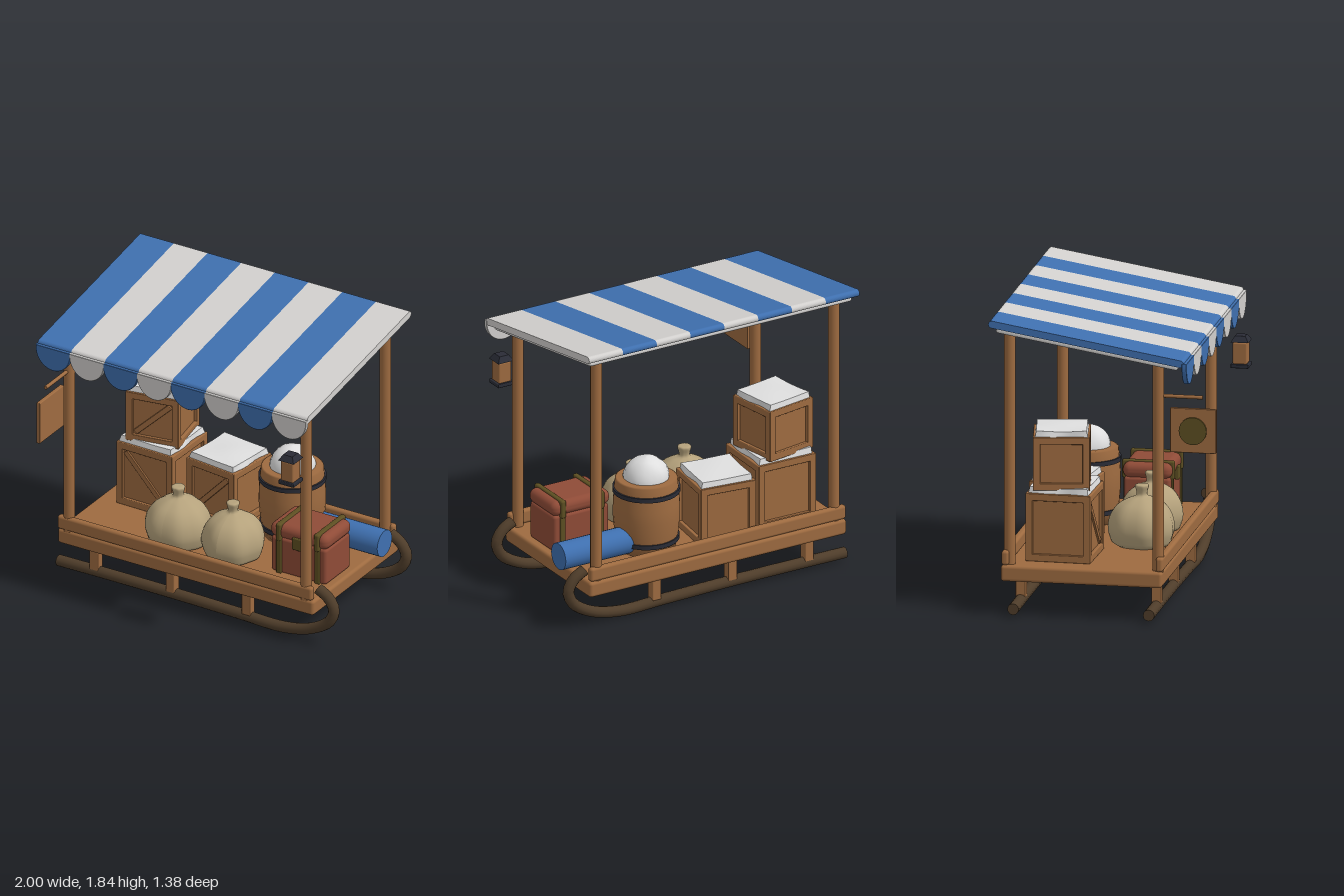
import * as THREE from 'three';
import { RoundedBoxGeometry } from 'three/addons/geometries/RoundedBoxGeometry.js';

const mat = (name, color, side = THREE.FrontSide) => {
  const m = new THREE.MeshStandardMaterial({ color, side });
  m.name = name;
  return m;
};

export function createModel() {
  const wood = mat('wood', 0x9e6b40);
  const darkWood = mat('darkWood', 0x4f3d2a);
  const blue = mat('blueCloth', 0x3f70b0);
  const white = mat('whiteCloth', 0xd3d1cf);
  const snow = mat('snow', 0xdedede);
  const iron = mat('iron', 0x2a2c36);
  const red = mat('redLeather', 0x8f4b37);
  const olive = mat('oliveStrap', 0x5d4f22);
  const burlap = mat('burlap', 0xb5a27c);

  const model = new THREE.Group();
  const add = (name, geo, material, x = 0, y = 0, z = 0, parent = model) => {
    const m = new THREE.Mesh(geo, material);
    m.name = name;
    m.position.set(x, y, z);
    parent.add(m);
    return m;
  };
  const group = (name, x, y, z, rotY = 0) => {
    const g = new THREE.Group();
    g.name = name;
    g.position.set(x, y, z);
    g.rotation.y = rotY;
    model.add(g);
    return g;
  };
  const rbox = (w, h, d, r = 0.01) => new RoundedBoxGeometry(w, h, d, 2, r);
  const cyl = (r, h, n = 20) => new THREE.CylinderGeometry(r, r, h, n);

  // Deck with a rail along the front and back
  add('deck', rbox(1.81, 0.1, 0.99, 0.02), wood, -0.045, 0.26, -0.125);
  for (const z of [0.353, -0.593]) add('sideRail', rbox(1.8, 0.09, 0.045, 0.018), wood, -0.05, 0.355, z);

  // Runners that curl up at the bow, held by struts
  const runnerPath = new THREE.CatmullRomCurve3([
    [-0.985, 0.05], [-0.6, 0.052], [-0.1, 0.05], [0.3, 0.043], [0.6, 0.038],
    [0.8, 0.082], [0.93, 0.165], [0.962, 0.25], [0.92, 0.325], [0.85, 0.365],
  ].map(([x, y]) => new THREE.Vector3(x, y, 0)));
  for (const z of [0.297, -0.535]) {
    add('runner', new THREE.TubeGeometry(runnerPath, 60, 0.035, 12), darkWood, 0, 0, z);
    for (const [x, a] of [[-0.985, -Math.PI / 2], [0.85, Math.PI / 2]]) {
      const cap = add('runnerEnd', new THREE.CircleGeometry(0.035, 12), darkWood, x, x < 0 ? 0.05 : 0.365, z);
      cap.rotation.y = a;
      if (x > 0) cap.rotation.y = -Math.PI / 2;
    }
    for (const x of [-0.72, -0.18, 0.355]) add('strut', rbox(0.06, 0.17, 0.06, 0.006), wood, x, 0.145, z);
  }

  // Canopy posts, taller at the back
  for (const x of [-0.885, 0.79]) {
    for (const [z, top] of [[0.337, 1.61], [-0.573, 1.765]]) {
      add('post', cyl(0.035, top - 0.3), wood, x, (top + 0.3) / 2, z);
    }
  }

  // Striped sloping canopy with a scalloped valance
  const stripe = 1.905 / 8;
  const canopy = group('canopy', -0.0475, 1.717, -0.085);
  canopy.rotation.x = 0.165;
  const half = 0.585, r = 0.022;
  const profile = new THREE.Shape();
  profile.absarc(half, 0, r, -Math.PI / 2, Math.PI / 2);
  profile.absarc(-half, 0, r, Math.PI / 2, Math.PI * 1.5);
  const scallop = new THREE.Shape();
  scallop.moveTo(stripe / 2, 0.015);
  scallop.lineTo(-stripe / 2, 0.015);
  scallop.absellipse(0, 0, stripe / 2, 0.128, Math.PI, Math.PI * 2);
  for (let i = 0; i < 8; i++) {
    const cloth = i % 2 ? white : blue;
    const strip = new THREE.ExtrudeGeometry(profile, { depth: stripe, bevelEnabled: false, curveSegments: 8 });
    strip.rotateY(-Math.PI / 2);
    add('canopyStripe', strip, cloth, (i - 3) * stripe, 0, 0, canopy);
    const flap = new THREE.ExtrudeGeometry(scallop, {
      depth: 0.018, bevelThickness: 0.006, bevelSize: 0.003, bevelSegments: 2, curveSegments: 14,
    });
    add('valanceScallop', flap, cloth, -1 + (i + 0.5) * stripe, 1.605, 0.508);
  }
  add('canopyLining', rbox(1.85, 0.035, 1.13, 0.015), white, 0, -0.037, 0.005, canopy);

  // Thin slab of settled snow with an uneven top
  const snowSlab = (w, d) => {
    const g = new THREE.BoxGeometry(w, 0.05, d, 8, 1, 8);
    const p = g.attributes.position;
    for (let i = 0; i < p.count; i++) {
      const x = p.getX(i), z = p.getZ(i);
      if (p.getY(i) > 0) {
        p.setXYZ(i, x * 0.95, 0.02 + 0.006 * Math.sin(x * 14 + 1) * Math.cos(z * 11), z * 0.95);
      } else p.setX(i, x + 0.008 * Math.sin(z * 25));
    }
    g.computeVertexNormals();
    return g;
  };

  // Framed crate with a diagonal brace on the front
  const crate = (x, y, z, s, h, rotY, brace) => {
    const g = group('crate', x, y, z, rotY);
    const t = 0.045, e = s / 2 - t / 2;
    add('cratePanels', new THREE.BoxGeometry(s - 0.04, h - 0.02, s - 0.04), wood, 0, h / 2, 0, g);
    for (const a of [-1, 1]) {
      for (const b of [-1, 1]) {
        add('cratePost', rbox(t, h, t, 0.005), wood, a * e, h / 2, b * e, g);
        const beamY = b > 0 ? h - t / 2 : t / 2;
        add('crateBeam', rbox(s - t, t, t, 0.005), wood, 0, beamY, a * e, g);
        add('crateBeam', rbox(t, t, s - t, 0.005), wood, a * e, beamY, 0, g);
      }
    }
    const iw = s - 2 * t, ih = h - 2 * t;
    const bar = add('crateBrace', rbox(Math.hypot(iw, ih) - 0.04, 0.035, 0.02, 0.004), wood, 0, h / 2, s / 2 - 0.018, g);
    bar.rotation.z = brace * Math.atan2(ih, iw);
    add('crateSnow', snowSlab(s * 0.93, s * 0.93), snow, 0, h + 0.016, 0, g);
  };
  crate(-0.615, 0.31, -0.29, 0.4, 0.42, -0.02, -1);
  crate(-0.62, 0.75, -0.305, 0.345, 0.33, 0.17, 1);
  crate(-0.185, 0.31, -0.36, 0.365, 0.38, -0.12, 1);

  // Barrel with iron hoops and a heap of snow
  const barrel = group('barrel', 0.285, 0.31, -0.325);
  const staves = [[0, 0], [0.175, 0], [0.193, 0.1], [0.204, 0.22], [0.203, 0.3], [0.196, 0.39], [0.19, 0.455], [0.18, 0.462], [0, 0.462]];
  add('barrelBody', new THREE.LatheGeometry(staves.map(([a, b]) => new THREE.Vector2(a, b)), 28), wood, 0, 0, 0, barrel);
  for (const [y, hr] of [[0.075, 0.2], [0.387, 0.206]]) add('barrelHoop', cyl(hr, 0.028, 28), iron, 0, y, 0, barrel);
  const heap = new THREE.SphereGeometry(0.142, 20, 12);
  const hp = heap.attributes.position;
  for (let i = 0; i < hp.count; i++) {
    const [x, y, z] = [hp.getX(i), hp.getY(i), hp.getZ(i)];
    const k = 1 + 0.025 * Math.sin(x * 40) * Math.cos(z * 36 + y * 20);
    hp.setXYZ(i, x * k, y * k, z * k);
  }
  heap.computeVertexNormals();
  add('barrelSnow', heap, snow, 0, 0.452, 0, barrel);

  // Lumpy tied sacks
  const sack = (x, z, w, h, phase) => {
    const pts = [[0, 0], [0.155, 0], [0.19, 0.05], [0.2, 0.11], [0.185, 0.18], [0.145, 0.24],
      [0.085, 0.28], [0.038, 0.3], [0.033, 0.325], [0.042, 0.36], [0.03, 0.37], [0, 0.37]];
    const curve = new THREE.SplineCurve(pts.map(([a, b]) => new THREE.Vector2(a, b)));
    const geo = new THREE.LatheGeometry(curve.getPoints(33).map((v) => v.setX(Math.max(v.x, 0))), 36);
    const p = geo.attributes.position;
    for (let i = 0; i < p.count; i++) {
      const a = Math.atan2(p.getZ(i), p.getX(i));
      const k = 1 + 0.025 * Math.sin(7 * a + phase) + 0.02 * Math.sin(3 * a + phase * 2);
      p.setXYZ(i, p.getX(i) * k * w, p.getY(i) * h, p.getZ(i) * k * w);
    }
    geo.computeVertexNormals();
    add('sack', geo, burlap, x, 0.31, z);
  };
  sack(-0.25, 0.115, 1, 1, 0.4);
  sack(0.127, 0.1, 0.95, 0.97, 2);

  // Strapped travelling chest
  const chest = group('chest', 0.622, 0.31, 0.012);
  add('chestBody', rbox(0.39, 0.24, 0.285, 0.02), red, 0, 0.12, 0, chest);
  add('chestLid', new RoundedBoxGeometry(0.41, 0.095, 0.3, 4, 0.042), red, 0, 0.28, 0, chest);
  for (const x of [-0.135, 0.135]) {
    add('chestStrap', rbox(0.036, 0.24, 0.305, 0.006), olive, x, 0.12, 0, chest);
    add('chestStrapTop', rbox(0.036, 0.115, 0.322, 0.012), olive, x, 0.28, 0, chest);
  }
  add('chestClasp', rbox(0.065, 0.08, 0.025, 0.006), olive, 0, 0.235, 0.153, chest);

  // Rolled blanket
  const roll = add('blanketRoll', cyl(0.085, 0.5, 24), blue, 0.67, 0.4, -0.352);
  roll.rotation.z = Math.PI / 2;

  // Hanging sign on a bracket
  const bracket = add('signBracket', cyl(0.012, 0.27, 10), wood, -0.885, 1.393, 0.475);
  bracket.rotation.x = Math.PI / 2;
  add('signBoard', rbox(0.026, 0.275, 0.28, 0.005), wood, -0.888, 1.187, 0.552);
  const disc = add('signDisc', cyl(0.085, 0.016, 24), olive, -0.905, 1.187, 0.552);
  disc.rotation.z = Math.PI / 2;

  // Lantern
  const lantern = group('lantern', 0.792, 1.175, 0.52);
  add('lanternBase', rbox(0.11, 0.025, 0.11, 0.005), iron, 0, 0.0125, 0, lantern);
  add('lanternBody', rbox(0.09, 0.135, 0.09, 0.01), wood, 0, 0.09, 0, lantern);
  const roof = new THREE.CylinderGeometry(0.045, 0.078, 0.036, 4).toNonIndexed();
  roof.computeVertexNormals();
  add('lanternRoof', roof, iron, 0, 0.178, 0, lantern).rotation.y = Math.PI / 4;

  return model;
}
